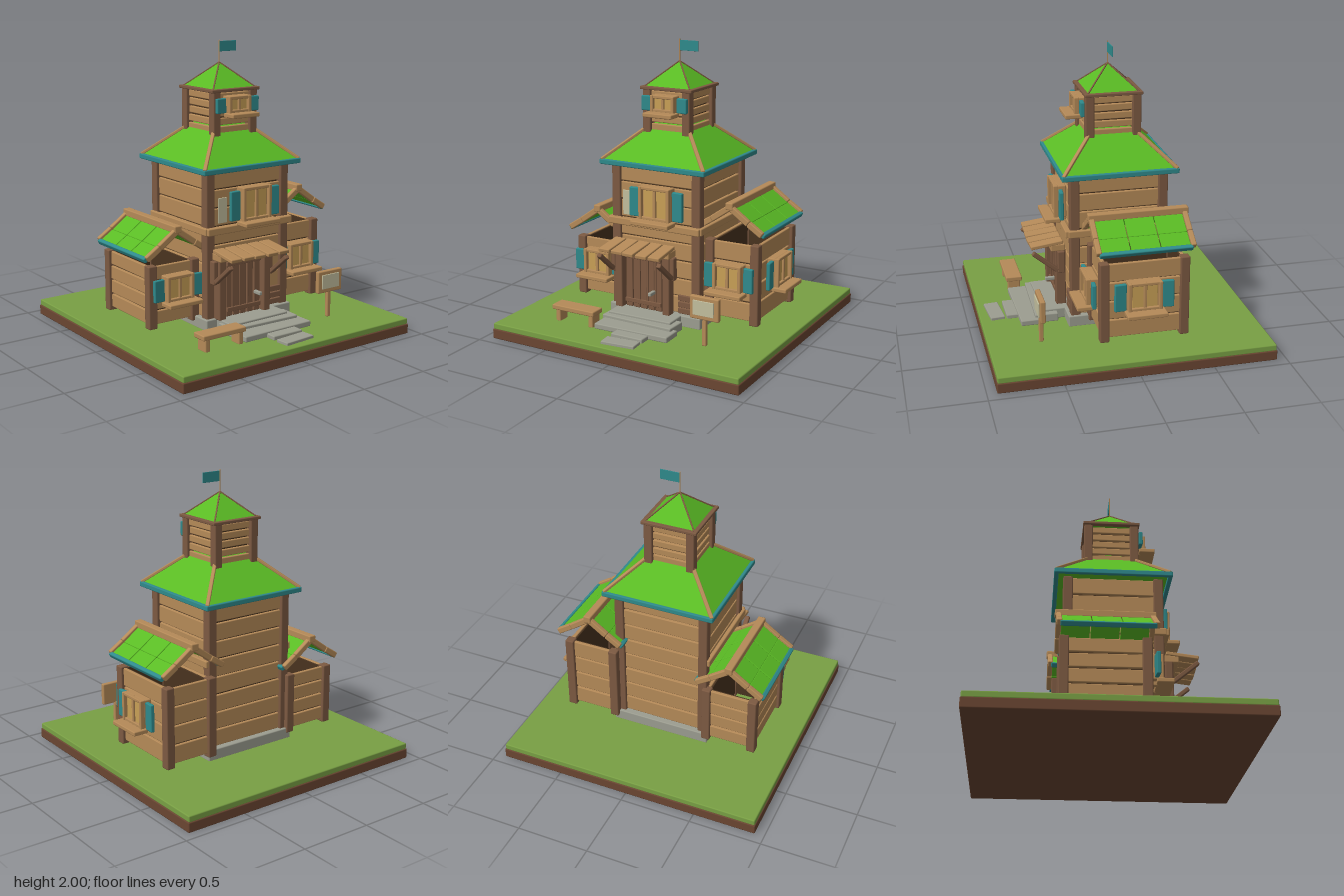
import * as THREE from 'three';
import { RoundedBoxGeometry } from 'three/addons/geometries/RoundedBoxGeometry.js';

const mat = (name, color) => Object.assign(new THREE.MeshStandardMaterial({ color }), { name });

export function createModel() {
  const tan = mat('light wood', 0xb58a58), brown = mat('dark wood', 0x7d5a42);
  const green = mat('roof green', 0x5abb24), teal = mat('teal paint', 0x2f8a8c);
  const amber = mat('amber glass', 0xc8a056), stone = mat('stone', 0x9c9d90);
  const paper = mat('paper', 0xc3bf9e), grass = mat('grass', 0x79a044);
  const soil = mat('soil', 0x6b4632), dark = mat('gap shadow', 0x49331f);
  const model = new THREE.Group();
  let seed = 7;
  const rnd = (a) => { seed = (seed * 16807) % 2147483647; return (seed / 2147483647 * 2 - 1) * a; };

  const group = (name, parent = model) => {
    const g = new THREE.Group();
    g.name = name;
    parent.add(g);
    return g;
  };
  // Chamfered box given by centre and size
  const box = (parent, name, m, x, y, z, w, h, d) => {
    const r = Math.min(0.008, Math.min(w, h, d) / 4);
    const mesh = new THREE.Mesh(new RoundedBoxGeometry(w, h, d, 1, r), m);
    mesh.name = name;
    mesh.position.set(x, y, z);
    parent.add(mesh);
    return mesh;
  };
  // Beam of width w and height h between two points
  const beam = (parent, name, m, a, b, w, h) => {
    const p = new THREE.Vector3(...a), q = new THREE.Vector3(...b);
    const c = p.clone().add(q).multiplyScalar(0.5);
    const mesh = box(parent, name, m, c.x, c.y, c.z, w, h, p.distanceTo(q));
    mesh.lookAt(q);
    return mesh;
  };
  const pyramid = (parent, name, half, height, y) => {
    const geo = new THREE.ConeGeometry(half * Math.SQRT2, height, 4).rotateY(Math.PI / 4).toNonIndexed();
    geo.computeVertexNormals();
    const mesh = new THREE.Mesh(geo, green);
    mesh.name = name;
    mesh.position.y = y + height / 2;
    parent.add(mesh);
  };
  // Plank wall facing local +z, outer face at z = 0
  const wall = (parent, name, x, z, ry, len, y0, y1, n, backFrom = y0) => {
    const g = group(name, parent), step = (y1 - y0) / n;
    g.position.set(x, 0, z);
    g.rotation.y = ry;
    box(g, 'wallBacking', dark, 0, (backFrom + y1) / 2, -0.03, len, y1 - backFrom - 0.02, 0.012);
    for (let i = 0; i < n; i++) {
      const p = box(g, 'plank', tan, 0, y0 + step * (i + 0.5), -0.013 + rnd(0.003), len, step - 0.01, 0.025);
      p.rotation.z = rnd(0.006);
    }
  };
  // Four plank walls and corner posts around a rectangle
  const room = (name, x0, x1, z0, z1, y0, y1, n, post, postTop, backFrom) => {
    const g = group(name), cx = (x0 + x1) / 2, cz = (z0 + z1) / 2, i = 0.02;
    const lx = x1 - x0 - 0.05, lz = z1 - z0 - 0.05;
    wall(g, 'frontWall', cx, z1 - i, 0, lx, y0, y1, n, backFrom);
    wall(g, 'backWall', cx, z0 + i, Math.PI, lx, y0, y1, n, backFrom);
    wall(g, 'leftWall', x1 - i, cz, Math.PI / 2, lz, y0, y1, n, backFrom);
    wall(g, 'rightWall', x0 + i, cz, -Math.PI / 2, lz, y0, y1, n, backFrom);
    for (const x of [x0 + post / 2, x1 - post / 2]) for (const z of [z0 + post / 2, z1 - post / 2])
      box(g, 'cornerPost', brown, x, (y0 + postTop) / 2 - 0.01, z, post, postTop - y0 + 0.02, post).rotation.y = rnd(0.03);
    return g;
  };
  // Window with frame, panes, shutters and sill, facing local +z
  const windowUnit = (name, x, y, z, ry, w, h, sw, sh, sillW) => {
    const g = group(name);
    g.position.set(x, y, z);
    g.rotation.y = ry;
    box(g, 'casing', tan, 0, 0, 0.025, w, h, 0.06);
    for (const s of [-1, 1]) {
      box(g, 'pane', amber, s * w * 0.2, 0, 0.054, w * 0.34, h - 0.03, 0.009);
      box(g, 'frameSide', tan, s * (w / 2 - 0.012), 0, 0.065, 0.024, h, 0.035);
      box(g, 'frameRail', tan, 0, s * (h / 2 - 0.012), 0.062, w - 0.02, 0.022, 0.03);
      const sx = s * (w / 2 + sw / 2 + 0.005);
      box(g, 'shutter', teal, sx, -0.005, 0.04, sw, sh, 0.028).rotation.set(0, s * -0.08, rnd(0.02));
      box(g, 'sillBracket', tan, s * w * 0.3, -h / 2 - 0.015, 0.02, 0.03, 0.03, 0.06);
    }
    box(g, 'mullion', tan, 0, 0, 0.062, 0.022, h, 0.022);
    box(g, 'sill', tan, 0, -h / 2 - 0.01, 0.092, sillW, 0.03, 0.11);
  };

  // Ground
  box(model, 'soilBlock', soil, 0, 0.035, 0, 1.87, 0.07, 1.87);
  box(model, 'grassTop', grass, 0, 0.088, 0, 1.86, 0.044, 1.86);
  box(model, 'foundation', stone, 0, 0.145, 0, 0.71, 0.08, 0.71);

  // Main tower
  const tower = room('mainTower', -0.34, 0.34, -0.335, 0.335, 0.18, 1.18, 8, 0.065, 1.18);
  box(tower, 'frontBeltBeam', tan, 0, 0.785, 0.35, 0.7, 0.05, 0.04);
  for (const s of [-1, 1]) box(tower, 'sideBeltBeam', tan, s * 0.345, 0.785, 0.01, 0.03, 0.05, 0.68);
  for (const y of [0.21, 0.255, 0.3]) box(tower, 'patchPlank', brown, 0.23, y, 0.325, 0.11, 0.04, 0.02);
  box(tower, 'notice', paper, -0.215, 0.915, 0.335, 0.07, 0.17, 0.009);

  // Main hipped roof
  const roof = group('mainRoof');
  pyramid(roof, 'roofPyramid', 0.39, 0.355, 1.2);
  for (const s of [-1, 1]) {
    box(roof, 'eaveFrontBack', teal, 0, 1.192, s * 0.382, 0.8, 0.036, 0.03);
    box(roof, 'eaveSide', teal, s * 0.386, 1.192, 0, 0.03, 0.036, 0.78);
    for (const t of [-1, 1])
      beam(roof, 'hipBeam', tan, [s * 0.39, 1.206, t * 0.385], [s * 0.17, 1.405, t * 0.17], 0.025, 0.02);
  }

  // Lookout, cap and flag
  room('lookout', -0.18, 0.18, -0.19, 0.19, 1.39, 1.67, 5, 0.06, 1.68, 1.47);
  const cap = group('lookoutCap');
  pyramid(cap, 'capPyramid', 0.172, 0.16, 1.69);
  for (const s of [-1, 1]) {
    box(cap, 'capRimFrontBack', brown, 0, 1.682, s * 0.178, 0.395, 0.022, 0.038);
    box(cap, 'capRimSide', brown, s * 0.178, 1.682, 0, 0.038, 0.022, 0.395);
    for (const t of [-1, 1])
      beam(cap, 'capHip', brown, [s * 0.172, 1.692, t * 0.172], [0, 1.852, 0], 0.01, 0.008);
  }
  const pole = new THREE.Mesh(new THREE.CylinderGeometry(0.004, 0.004, 0.16, 8), tan);
  pole.name = 'flagPole';
  pole.position.y = 1.92;
  model.add(pole);
  box(model, 'flag', teal, 0.072, 1.957, 0, 0.138, 0.07, 0.006);

  // Side wings with open gable roofs
  const wing = (name, side, zBack, zFront, top, peak, rx, r0, r1) => {
    const outer = side * 0.713, inner = side * 0.315;
    room(name, Math.min(outer, inner), Math.max(outer, inner), zBack, zFront, 0.17, top - 0.005, 4, 0.063, top);
    const g = group(name + 'Roof');
    box(g, 'ridgeBeam', tan, rx, peak - 0.028, (r0 + r1) / 2, 0.055, 0.05, r1 - r0);
    const profile = [[0, -0.04], [0.135, -0.135], [0.235, -0.2]];
    const e0 = r0 + 0.04, e1 = r1 - 0.035, step = (e1 - e0) / 3;
    for (const s of [-1, 1]) for (let i = 0; i < 2; i++) {
      const [ax, ay] = profile[i], [bx, by] = profile[i + 1];
      const a = [rx + s * ax, peak + ay], b = [rx + s * bx, peak + by];
      for (let k = 0; k < 3; k++) {
        const z = e0 + step * (k + 0.5);
        beam(g, 'roofPanel', green, [...a, z], [...b, z], step - 0.006, 0.016);
      }
      for (const z of [r0 + 0.025, r1 - 0.022])
        beam(g, 'rakeBoard', tan, [a[0], a[1] + 0.004, z], [b[0], b[1] + 0.004, z], 0.036, 0.042);
      if (i) box(g, 'eaveTrim', teal, b[0], b[1], (e0 + e1) / 2, 0.03, 0.035, e1 - e0 + 0.02).rotation.z = -s * 0.5;
    }
  };
  wing('tallWing', 1, -0.385, 0.22, 0.71, 0.99, 0.51, -0.42, 0.255);
  wing('lowWing', -1, -0.365, 0.215, 0.58, 0.84, -0.515, -0.39, 0.265);

  // Windows
  windowUnit('mainWindow', 0.027, 0.945, 0.325, 0, 0.235, 0.23, 0.08, 0.2, 0.29);
  windowUnit('lookoutWindow', 0, 1.59, 0.165, 0, 0.18, 0.115, 0.078, 0.1, 0.22);
  windowUnit('lowWingWindow', -0.512, 0.425, 0.21, 0, 0.21, 0.175, 0.08, 0.15, 0.26);
  windowUnit('tallWingWindow', 0.513, 0.48, 0.21, 0, 0.21, 0.185, 0.07, 0.17, 0.27);
  windowUnit('sideWindow', 0.7, 0.485, -0.068, Math.PI / 2, 0.23, 0.2, 0.08, 0.19, 0.27);

  // Door with frame, straps and handle
  const door = group('door');
  box(door, 'doorBacking', dark, -0.07, 0.4, 0.345, 0.31, 0.42, 0.02);
  for (let i = 0; i < 5; i++) box(door, 'doorPlank', brown, -0.185 + i * 0.0575, 0.395, 0.362, 0.051, 0.41, 0.025);
  for (const y of [0.24, 0.555]) box(door, 'doorStrap', brown, -0.07, y, 0.38, 0.28, 0.03, 0.015);
  for (const x of [-0.16, -0.1, -0.035, 0.025]) box(door, 'doorBatten', brown, x, 0.395, 0.378, 0.014, 0.35, 0.01);
  box(door, 'handle', stone, 0.02, 0.33, 0.42, 0.025, 0.025, 0.07);
  for (const x of [-0.255, 0.115]) box(door, 'doorPost', brown, x, 0.39, 0.365, 0.055, 0.42, 0.07);
  box(door, 'lintel', tan, -0.07, 0.615, 0.385, 0.46, 0.05, 0.1);

  // Plank canopy on braces
  const canopy = group('canopy');
  for (let i = 0; i < 5; i++) {
    const x = -0.262 + i * 0.095;
    beam(canopy, 'canopyPlank', tan, [x, 0.655, 0.35], [x + rnd(0.006), 0.628, 0.57 + rnd(0.008)], 0.086, 0.026);
  }
  for (const x of [-0.305, 0.155]) {
    beam(canopy, 'brace', brown, [x, 0.45, 0.39], [x, 0.59, 0.56], 0.035, 0.03);
    box(canopy, 'braceFoot', brown, x, 0.51, 0.365, 0.035, 0.16, 0.05);
  }

  // Stone steps and path: x, z, width, depth, bottom, top, turn
  for (const [x, z, w, d, y0, y1, r] of [
    [-0.03, 0.42, 0.48, 0.18, 0.11, 0.185, 0.02], [-0.02, 0.48, 0.54, 0.16, 0.11, 0.17, -0.03],
    [0, 0.6, 0.555, 0.15, 0.11, 0.15, 0.02], [0.02, 0.705, 0.24, 0.09, 0.105, 0.138, 0],
    [0.02, 0.82, 0.24, 0.1, 0.105, 0.13, 0.09],
  ]) box(model, 'stoneStep', stone, x, (y0 + y1) / 2, z, w, y1 - y0, d).rotation.y = r;

  // Bench
  const bench = group('bench');
  box(bench, 'benchSeat', tan, -0.445, 0.208, 0.63, 0.335, 0.035, 0.115);
  for (const x of [-0.572, -0.31]) box(bench, 'benchLeg', tan, x, 0.15, 0.63, 0.036, 0.09, 0.09);

  // Notice board
  const board = group('noticeBoard');
  box(board, 'boardPost', tan, 0.51, 0.25, 0.575, 0.03, 0.28, 0.03);
  box(board, 'boardPanel', tan, 0.512, 0.367, 0.577, 0.21, 0.155, 0.035);
  box(board, 'boardPaper', paper, 0.51, 0.37, 0.6, 0.15, 0.1, 0.009);
  return model;
}
